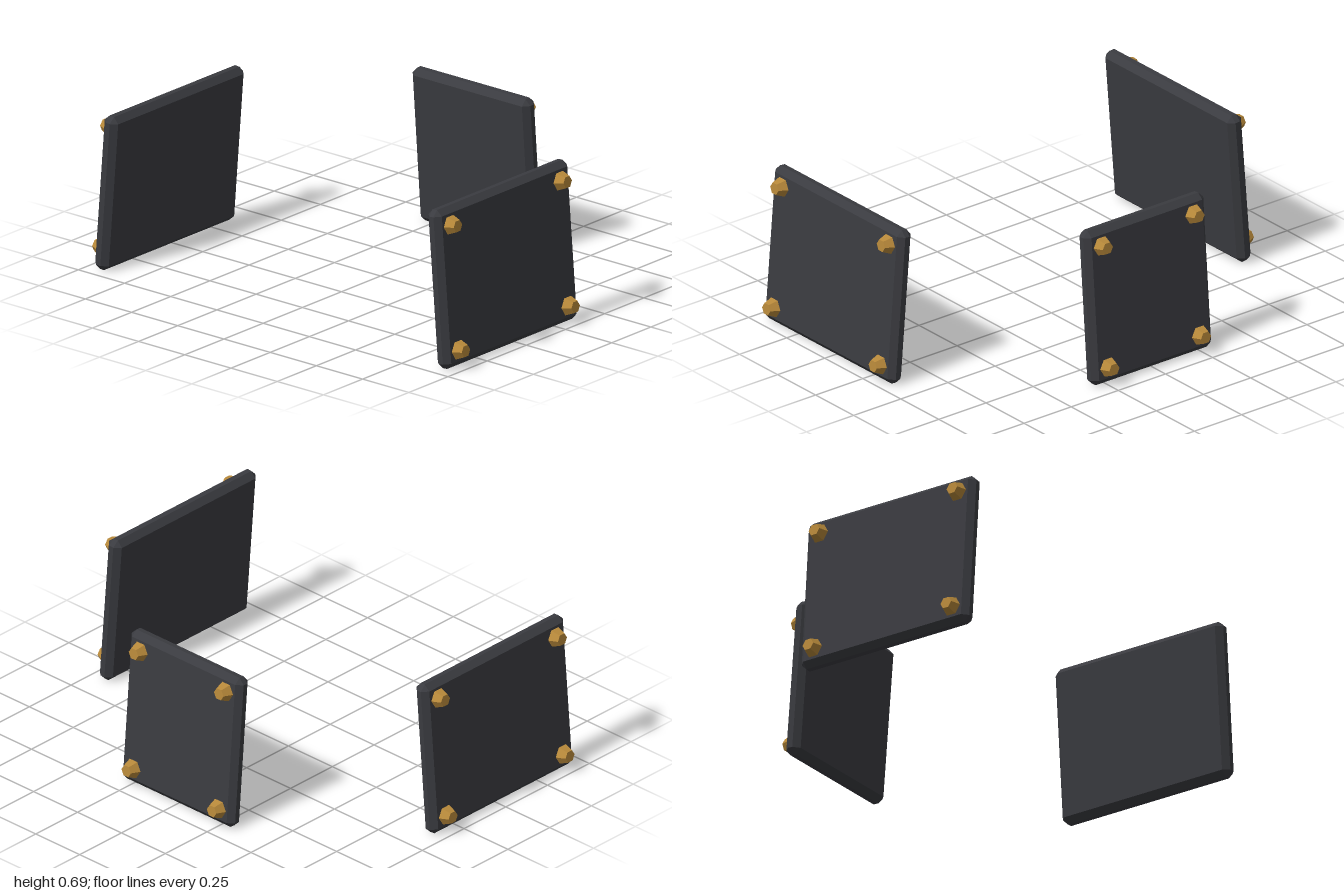
import * as THREE from 'three';
import { ConvexGeometry } from 'three/addons/geometries/ConvexGeometry.js';

const plateMaterial = new THREE.MeshStandardMaterial({ color: 0x3a3b40, flatShading: true });
const boltMaterial = new THREE.MeshStandardMaterial({ color: 0xb8893a, flatShading: true });

const HEIGHT = 0.687, THICKNESS = 0.073, CHAMFER = 0.025, TILT = 0.08;

// Box with every edge and corner cut at 45 degrees
function chamferedBox(width, height, depth, cut) {
  const half = [width / 2, height / 2, depth / 2];
  const points = [];
  for (const sx of [-1, 1]) for (const sy of [-1, 1]) for (const sz of [-1, 1]) {
    for (let axis = 0; axis < 3; axis++) {
      const [x, y, z] = half.map((h, i) => (i === axis ? h : h - cut));
      points.push(new THREE.Vector3(sx * x, sy * y, sz * z));
    }
  }
  return new ConvexGeometry(points);
}

// Tapered six-sided stud head pointing along +z, its base sunk into the plate
const STUD = 0.05;
const studGeometry = new THREE.CylinderGeometry(0.027, 0.046, STUD, 6)
  .rotateY(Math.PI / 2)
  .rotateX(Math.PI / 2);

// Upright plate with outer face +z, leaning inward at the top, a stud near each corner
function createPlate(name, width, studX) {
  const group = new THREE.Group();
  group.name = name;
  const plate = new THREE.Mesh(chamferedBox(width, HEIGHT, THICKNESS, CHAMFER), plateMaterial);
  plate.name = 'plate';
  group.add(plate);
  for (const sx of [-1, 1]) for (const sy of [-1, 1]) {
    const stud = new THREE.Mesh(studGeometry, boltMaterial);
    stud.name = 'stud';
    stud.position.set(sx * studX, sy * 0.27, THICKNESS / 2 + 0.041 - STUD / 2);
    group.add(stud);
  }
  return group;
}

export function createModel() {
  const model = new THREE.Group();
  model.name = 'armourPlates';

  // Mirrored side plates
  for (const side of [-1, 1]) {
    const plate = createPlate(side > 0 ? 'leftPlate' : 'rightPlate', 0.85, 0.35);
    plate.position.set(side * 0.901, 0.345, 0.285);
    plate.rotation.set(-TILT, side * Math.PI / 2, 0, 'YXZ');
    model.add(plate);
  }

  // Narrower back plate
  const back = createPlate('backPlate', 0.637, 0.243);
  back.position.set(0, 0.345, -0.617);
  back.rotation.set(-TILT, Math.PI, 0, 'YXZ');
  model.add(back);

  return model;
}
